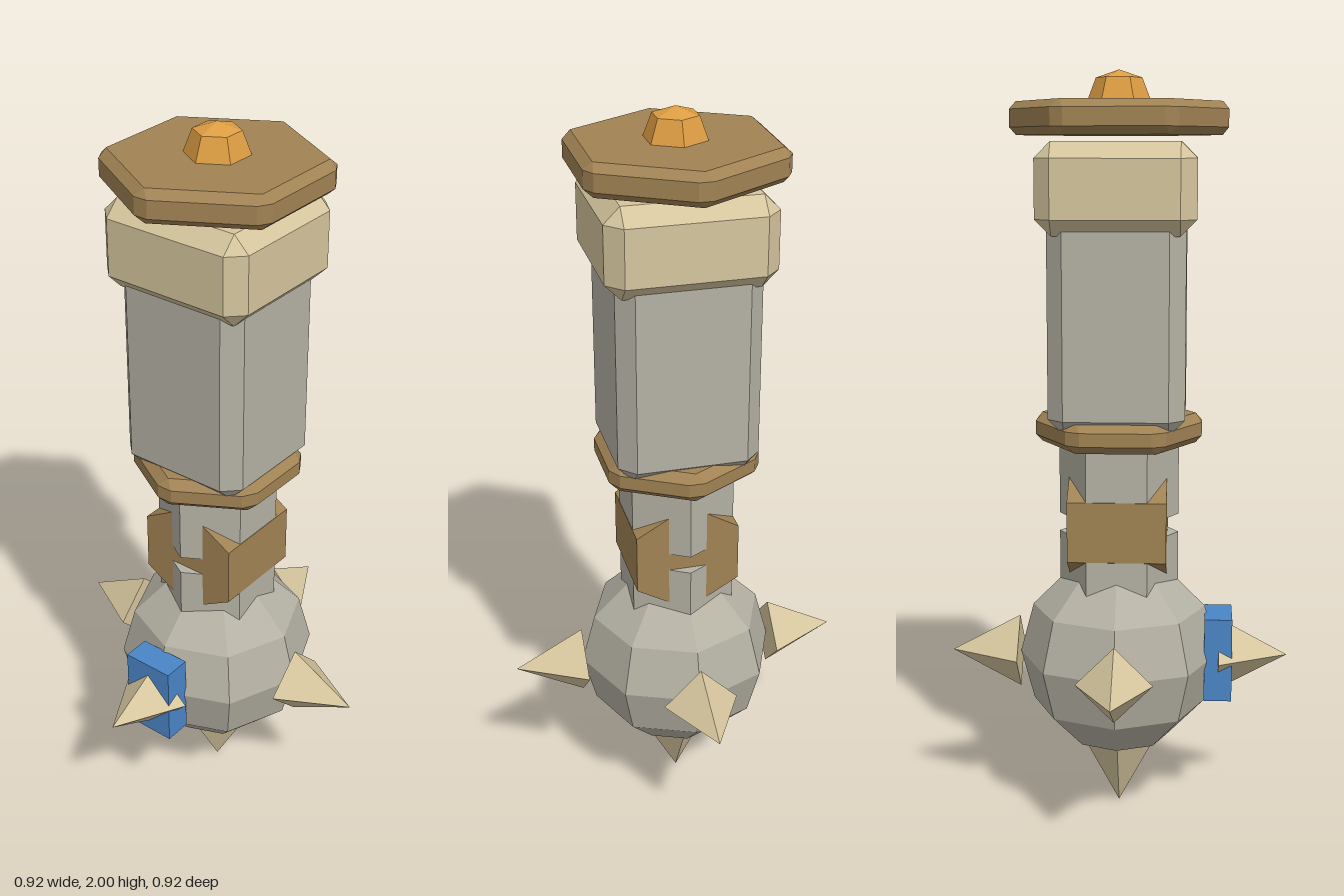
import * as THREE from 'three';
import { ConvexGeometry } from 'three/addons/geometries/ConvexGeometry.js';

const mat = (name, color) => {
  const m = new THREE.MeshStandardMaterial({ color });
  m.name = name;
  return m;
};

// Faceted copy of a geometry, one normal per face
function faceted(geo) {
  const g = geo.index ? geo.toNonIndexed() : geo;
  g.computeVertexNormals();
  return g;
}

// Box with every edge and corner cut by c
function chamferBox(w, h, d, c) {
  const pts = [];
  for (const sx of [-1, 1]) for (const sy of [-1, 1]) for (const sz of [-1, 1]) {
    const x = w / 2, y = h / 2, z = d / 2;
    for (const [a, b, e] of [[x, y - c, z - c], [x - c, y, z - c], [x - c, y - c, z]]) {
      pts.push(new THREE.Vector3(sx * a, sy * b, sz * e));
    }
  }
  return new ConvexGeometry(pts);
}

// Hexagonal slab with bevelled rims and trimmed corners, corners on the z axis
function hexSlab(apothem, height, bevel, bevelY, trim) {
  const pts = [];
  const R = apothem / Math.cos(Math.PI / 6);
  const r = (apothem - bevel) / Math.cos(Math.PI / 6);
  const corner = (i, rad) => new THREE.Vector3(
    rad * Math.sin(i * Math.PI / 3), 0, rad * Math.cos(i * Math.PI / 3));
  for (const s of [-1, 1]) {
    for (let i = 0; i < 6; i++) {
      pts.push(corner(i, r).setY(s * height / 2));
      for (const n of [i - 1, i + 1]) {
        pts.push(corner(i, R).lerp(corner(n, R), trim / R).setY(s * (height / 2 - bevelY)));
      }
    }
  }
  return new ConvexGeometry(pts);
}

export function createModel() {
  const group = new THREE.Group();
  const stone = mat('grey stone', 0xb5b2a4);
  const bone = mat('pale bone', 0xd6c69e);
  const bronze = mat('bronze', 0xa18354);
  const gold = mat('gold', 0xdd9d42);
  const blue = mat('blue gem', 0x4a86c8);

  const add = (name, geo, material, x = 0, y = 0, z = 0) => {
    const m = new THREE.Mesh(geo, material);
    m.name = name;
    m.position.set(x, y, z);
    group.add(m);
    return m;
  };

  // Ball with five spikes
  const ballY = 0.435;
  add('ball', faceted(new THREE.SphereGeometry(0.272, 8, 6)), stone, 0, ballY, 0);
  const spikeGeo = faceted(new THREE.ConeGeometry(0.102, 0.188, 4));
  const q = Math.PI / 2;
  const d = 0.367;
  add('leftSpike', spikeGeo, bone, d, ballY, 0).rotation.z = -q;
  add('rightSpike', spikeGeo, bone, -d, ballY, 0).rotation.z = q;
  add('frontSpike', spikeGeo, bone, 0, ballY, d).rotation.x = q;
  add('backSpike', spikeGeo, bone, 0, ballY, -d).rotation.x = -q;
  add('bottomSpike', spikeGeo, bone, 0, 0.094, 0).rotation.x = Math.PI;
  add('gem', new THREE.BoxGeometry(0.145, 0.23, 0.075), blue, 0, 0.438, 0.272);

  // Neck in two hexagonal lengths, joined by a hexagonal barrel lying along z
  add('lowerNeck', faceted(new THREE.CylinderGeometry(0.161, 0.161, 0.16, 6)), stone, 0, 0.70, 0);
  add('upperNeck', faceted(new THREE.CylinderGeometry(0.161, 0.161, 0.22, 6)), stone, 0, 0.94, 0);
  add('neckBarrel', faceted(new THREE.CylinderGeometry(0.162, 0.162, 0.262, 6)), bronze, 0, 0.808, 0)
    .rotation.x = q;

  // Grip between the guard ring and the collar
  add('guardRing', hexSlab(0.203, 0.08, 0.025, 0.022, 0.025), bronze, 0, 1.068, 0);
  add('grip', chamferBox(0.376, 0.58, 0.356, 0.042), stone, 0, 1.36, 0);
  add('collar', chamferBox(0.436, 0.235, 0.41, 0.042), bone, 0, 1.702, 0);

  // Cap disc and faceted knob
  add('capDisc', hexSlab(0.255, 0.086, 0.023, 0.02, 0.022), bronze, 0, 1.878, 0);
  const knob = [[0, 1.91], [0.083, 1.91], [0.083, 1.92], [0.06, 1.98], [0, 2]];
  add('knob', faceted(new THREE.LatheGeometry(knob.map(p => new THREE.Vector2(...p)), 6)), gold);

  return group;
}
